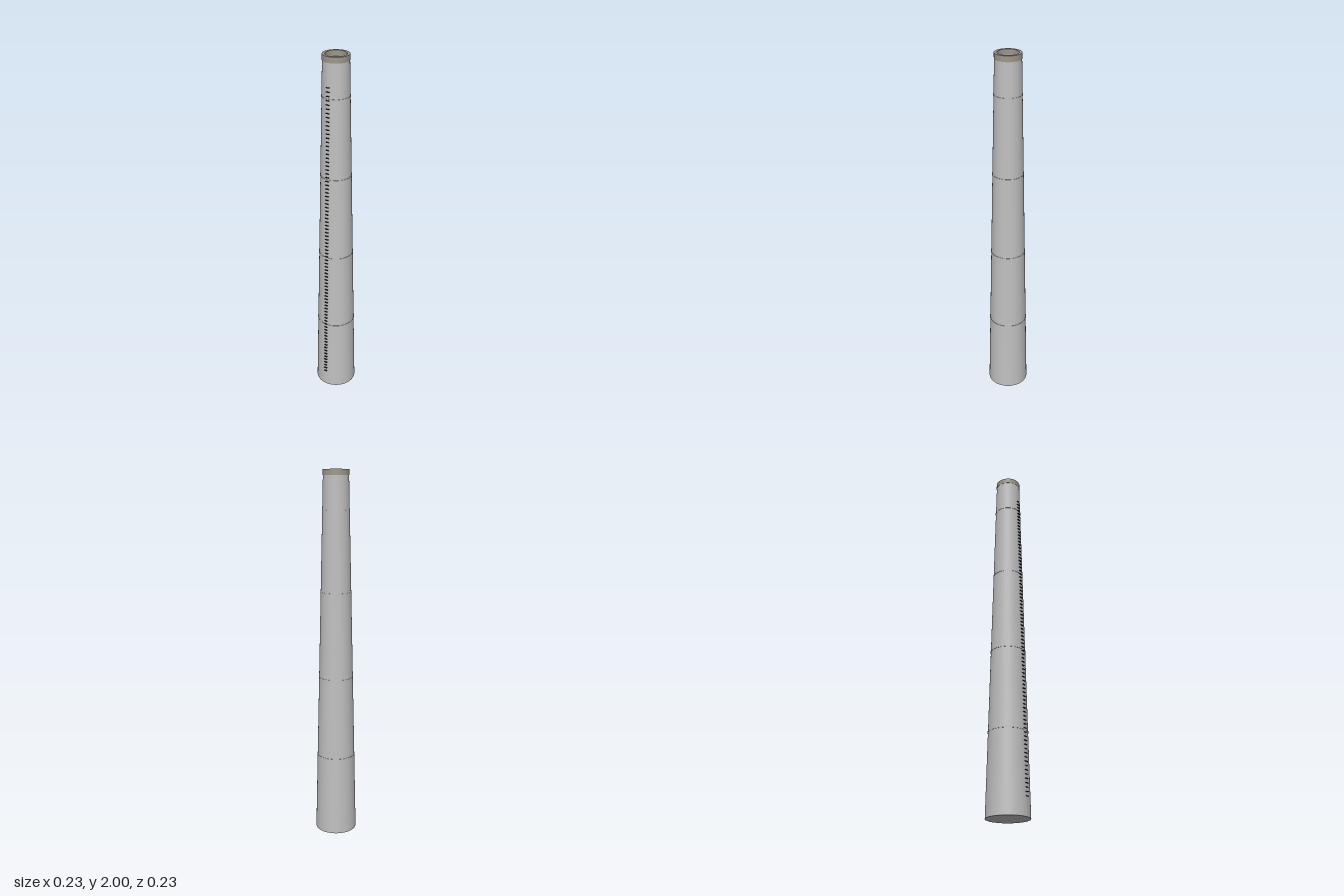
import * as THREE from 'three';

const BASE_R = 0.114, TOP_R = 0.068, SHAFT_H = 1.97, AXIS_Z = -0.002;
const radiusAt = (y) => BASE_R + (TOP_R - BASE_R) * (y / SHAFT_H);

export function createModel() {
  const concrete = new THREE.MeshStandardMaterial({ color: 0xc0c0c0 });
  concrete.name = 'concrete';
  const capStone = new THREE.MeshStandardMaterial({ color: 0x9e978c });
  capStone.name = 'cap stone';
  const darkIron = new THREE.MeshStandardMaterial({ color: 0x1e2124 });
  darkIron.name = 'dark iron';

  const model = new THREE.Group();
  model.name = 'chimney';
  const add = (parent, name, geometry, material, y, z = AXIS_Z) => {
    const mesh = new THREE.Mesh(geometry, material);
    mesh.name = name;
    mesh.position.set(0, y, z);
    parent.add(mesh);
    return mesh;
  };

  // Tapered shaft, closed at both ends
  add(model, 'shaft', new THREE.CylinderGeometry(TOP_R, BASE_R, SHAFT_H, 64), concrete, SHAFT_H / 2);

  // Rim around the mouth, with a recessed floor inside
  const ring = new THREE.Shape().absarc(0, 0, 0.069, 0, Math.PI * 2, false);
  ring.holes.push(new THREE.Path().absarc(0, 0, 0.0545, 0, Math.PI * 2, true));
  const rimGeometry = new THREE.ExtrudeGeometry(ring, {
    depth: 2 - SHAFT_H, bevelEnabled: false, curveSegments: 64,
  }).rotateX(-Math.PI / 2);
  add(model, 'rim', rimGeometry, capStone, SHAFT_H);

  // Slightly raised bands
  const bands = new THREE.Group();
  bands.name = 'bands';
  model.add(bands);
  for (const y of [0.44, 0.89, 1.36, 1.79]) {
    const r = radiusAt(y) + 0.0018;
    add(bands, 'band', new THREE.CylinderGeometry(r, r, 0.007, 64), concrete, y);
  }

  // Climbing rungs up the front
  const ladder = new THREE.Group();
  ladder.name = 'ladder';
  model.add(ladder);
  const rungGeometry = new THREE.BoxGeometry(0.018, 0.0026, 0.01);
  for (let i = 0; i <= 81; i++) {
    const y = 0.1 + i * 0.0216;
    add(ladder, 'rung', rungGeometry, darkIron, y, AXIS_Z + radiusAt(y) + 0.002);
  }
  return model;
}
